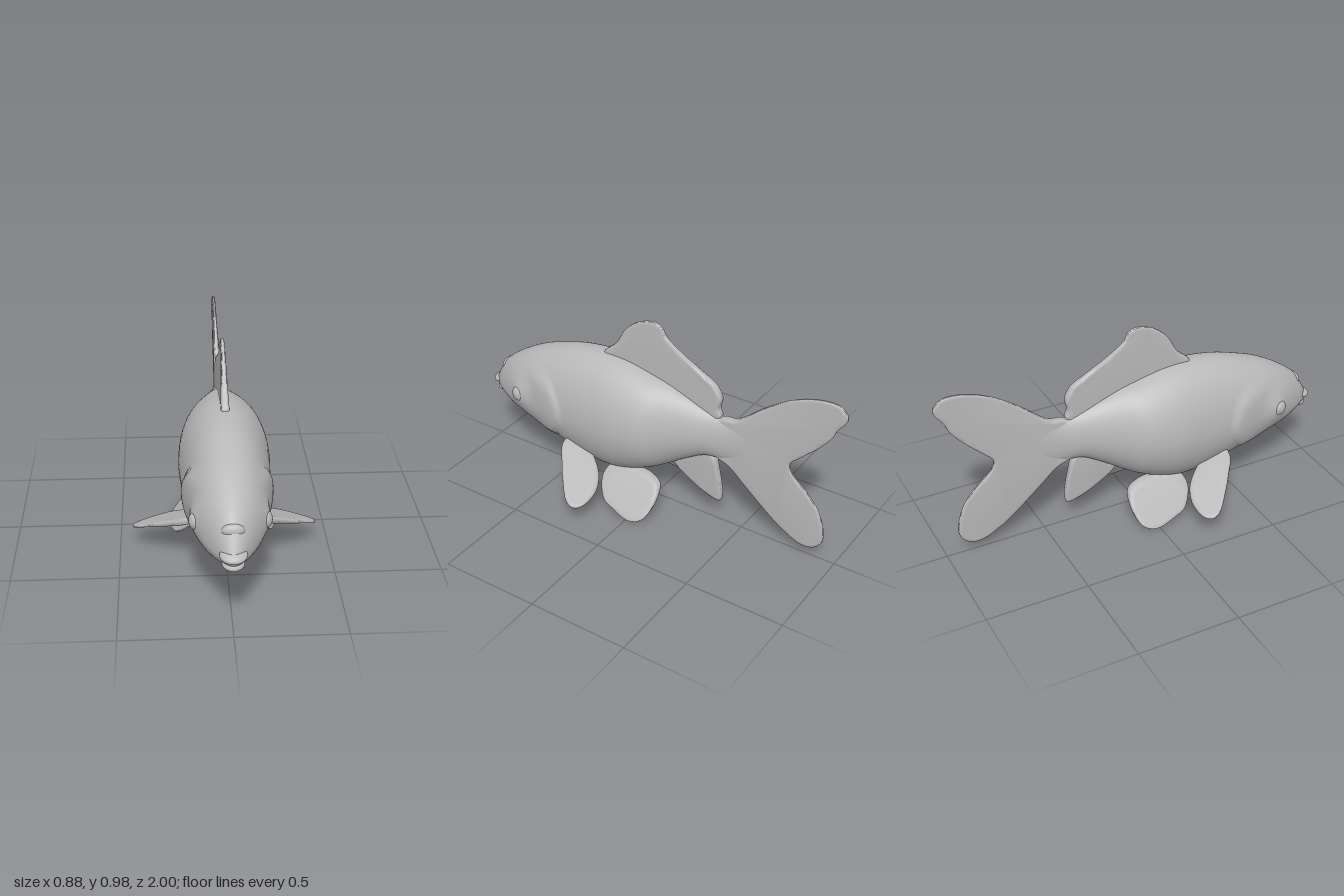
import * as THREE from 'three';
import { toCreasedNormals } from 'three/addons/utils/BufferGeometryUtils.js';

const skin = new THREE.MeshStandardMaterial({ color: 0xb9b9b9 });
skin.name = 'grey skin';

const lerp = THREE.MathUtils.lerp;
const smooth = THREE.MathUtils.smoothstep;

function add(group, name, geometry) {
  const mesh = new THREE.Mesh(geometry, skin);
  mesh.name = name;
  group.add(mesh);
  return mesh;
}

// Body stations: z, top y, bottom y, half width, y of widest point
const stations = [
  [0.985, 0.375, 0.365, 0.003, 0.37],
  [0.965, 0.41, 0.335, 0.035, 0.37],
  [0.92, 0.487, 0.315, 0.07, 0.375],
  [0.88, 0.53, 0.297, 0.095, 0.38],
  [0.8, 0.587, 0.268, 0.135, 0.395],
  [0.7, 0.642, 0.235, 0.163, 0.41],
  [0.6, 0.68, 0.205, 0.18, 0.42],
  [0.45, 0.723, 0.163, 0.196, 0.42],
  [0.28, 0.743, 0.128, 0.21, 0.42],
  [0.14, 0.738, 0.137, 0.215, 0.425],
  [0, 0.71, 0.19, 0.197, 0.44],
  [-0.1, 0.685, 0.245, 0.148, 0.455],
  [-0.2, 0.65, 0.31, 0.105, 0.47],
  [-0.3, 0.615, 0.362, 0.068, 0.48],
  [-0.4, 0.595, 0.365, 0.038, 0.48],
  [-0.5, 0.6, 0.38, 0.02, 0.485],
  [-0.62, 0.55, 0.44, 0.004, 0.49],
];

// Raised gill cover with a sharp rear edge, and a swelling round the eye
function relief(y, z) {
  const edge = 0.44 + 3.2 * (y - 0.41) ** 2;
  const gill = 0.014 * smooth(z, edge - 0.012, edge + 0.012) * (1 - smooth(z, edge + 0.03, edge + 0.2))
    * (1 - smooth(Math.abs(y - 0.41), 0.12, 0.2));
  const r2 = ((z - 0.72) / 0.055) ** 2 + ((y - 0.43) / 0.065) ** 2;
  return gill + 0.016 * Math.exp(-r2);
}

function bodyGeometry() {
  const curve = (f) => new THREE.CatmullRomCurve3(stations.map(f), false, 'catmullrom', 0.5);
  const heights = curve((s) => new THREE.Vector3(s[0], s[1], s[2]));
  const widths = curve((s) => new THREE.Vector3(s[3], s[4], 0));
  const rings = 160, sides = 72, positions = [], index = [];
  for (let i = 0; i <= rings; i++) {
    const h = heights.getPoint(i / rings), w = widths.getPoint(i / rings);
    for (let j = 0; j < sides; j++) {
      const a = (j / sides) * Math.PI * 2;
      const c = Math.cos(a), s = Math.sin(a);
      const y = w.y + s * (s > 0 ? h.y - w.y : w.y - h.z);
      const x = c * Math.max(w.x, 0.002) + Math.sign(c) * Math.min(1, Math.abs(c) * 3) * relief(y, h.x);
      positions.push(x, y, h.x);
    }
  }
  for (let i = 0; i < rings; i++) {
    for (let j = 0; j < sides; j++) {
      const k = (j + 1) % sides, p = i * sides, q = p + sides;
      index.push(p + j, q + j, p + k, p + k, q + j, q + k);
    }
  }
  const g = new THREE.BufferGeometry();
  g.setAttribute('position', new THREE.Float32BufferAttribute(positions, 3));
  g.setIndex(index);
  g.computeVertexNormals();
  return g;
}

// Thin fin with rounded rim: place(a, b, w) puts outline point (a, b) and side w (-1..1) in space
function finGeometry(points, rim, place) {
  const curve = new THREE.CatmullRomCurve3(points.map(([a, b]) => new THREE.Vector3(a, b, 0)), true);
  const outline = curve.getPoints(90).slice(0, -1).map((p) => new THREE.Vector2(p.x, p.y));
  const g = new THREE.ExtrudeGeometry(new THREE.Shape(outline), {
    depth: 0.8, bevelThickness: 0.6, bevelSize: rim, bevelOffset: -rim, bevelSegments: 4, steps: 1,
  });
  const p = g.attributes.position;
  for (let i = 0; i < p.count; i++) {
    p.setXYZ(i, ...place(p.getX(i), p.getY(i), p.getZ(i) - 0.4));
  }
  return toCreasedNormals(g, 1.0);
}

// Outlines in (z, y)
const tailOutline = [
  [-0.3, 0.55], [-0.38, 0.6], [-0.45, 0.612], [-0.61, 0.74], [-0.77, 0.835], [-0.9, 0.868],
  [-0.965, 0.86], [-1, 0.82], [-0.988, 0.78], [-0.953, 0.735], [-0.935, 0.69], [-0.875, 0.615],
  [-0.795, 0.535], [-0.737, 0.475], [-0.745, 0.432], [-0.81, 0.37], [-0.89, 0.28], [-0.93, 0.17],
  [-0.927, 0.1], [-0.885, 0.055], [-0.825, 0.045], [-0.74, 0.08], [-0.635, 0.155], [-0.5, 0.275],
  [-0.42, 0.345], [-0.35, 0.372], [-0.3, 0.42],
];
const dorsalOutline = [
  [0.25, 0.68], [0.29, 0.738], [0.22, 0.81], [0.17, 0.895], [0.1, 0.955], [0.01, 0.983],
  [-0.035, 0.968], [-0.06, 0.925], [-0.15, 0.86], [-0.26, 0.8], [-0.335, 0.755], [-0.367, 0.695],
  [-0.358, 0.64], [-0.37, 0.6], [-0.3, 0.56], [0, 0.63],
];
const analOutline = [
  [-0.1, 0.32], [-0.115, 0.25], [-0.22, 0.17], [-0.31, 0.128], [-0.375, 0.118], [-0.386, 0.155],
  [-0.365, 0.28], [-0.335, 0.37], [-0.25, 0.42],
];
const pelvicOutline = [
  [0.2, 0.17], [0.21, 0.125], [0.16, 0.05], [0.09, 0.026], [-0.02, 0.006], [-0.085, 0.03],
  [-0.112, 0.1], [-0.097, 0.165], [-0.03, 0.192], [0.05, 0.2], [0.13, 0.21],
];
// Outline in (x, z)
const pectoralOutline = [
  [0.14, 0.42], [0.2, 0.425], [0.28, 0.37], [0.36, 0.305], [0.43, 0.235], [0.438, 0.195],
  [0.41, 0.163], [0.32, 0.15], [0.24, 0.175], [0.18, 0.23], [0.13, 0.32],
];

export function createModel() {
  const fish = new THREE.Group();
  fish.name = 'fish';
  add(fish, 'body', bodyGeometry());

  // Lips
  const lip = (name, y, z, sx, sy, sz) => {
    const m = add(fish, name, new THREE.SphereGeometry(1, 32, 20));
    m.position.set(0, y, z);
    m.scale.set(sx, sy, sz);
    m.rotation.x = 0.25;
  };
  lip('upperLip', 0.382, 0.945, 0.06, 0.024, 0.055);
  lip('lowerLip', 0.335, 0.93, 0.05, 0.024, 0.05);

  // Nostril ridge
  const nose = add(fish, 'nostrilRidge', new THREE.SphereGeometry(1, 28, 18));
  nose.position.set(0, 0.475, 0.905);
  nose.scale.set(0.05, 0.032, 0.025);

  // Fins on the centre line
  add(fish, 'tailFin', finGeometry(tailOutline, 0.018, (z, y, w) =>
    [-w * lerp(0.024, 0.009, smooth(-z, 0.35, 0.75)), y, z]));
  add(fish, 'dorsalFin', finGeometry(dorsalOutline, 0.015, (z, y, w) =>
    [-w * lerp(0.021, 0.01, smooth(y, 0.68, 0.98)), y, z]));
  add(fish, 'analFin', finGeometry(analOutline, 0.014, (z, y, w) =>
    [-w * lerp(0.011, 0.022, smooth(y, 0.1, 0.36)), y, z]));

  // Paired fins and eyes
  for (const s of [1, -1]) {
    const side = s > 0 ? 'left' : 'right';
    add(fish, side + 'PelvicFin', finGeometry(pelvicOutline, 0.018, (z, y, w) =>
      [s * (0.265 - 0.9 * y) - w * lerp(0.014, 0.026, smooth(y, 0, 0.2)), y, z]));
    add(fish, side + 'PectoralFin', finGeometry(pectoralOutline, 0.02, (x, z, w) =>
      [s * x, 0.173 - 0.28 * x + 0.31 * z - s * w * lerp(0.02, 0.009, smooth(x, 0.16, 0.42)), z]));
    const eye = add(fish, side + 'Eye', new THREE.SphereGeometry(0.04, 28, 18));
    eye.position.set(s * 0.152, 0.425, 0.728);
    eye.scale.x = 0.75;
    eye.rotation.y = -s * 0.3;
  }
  return fish;
}
